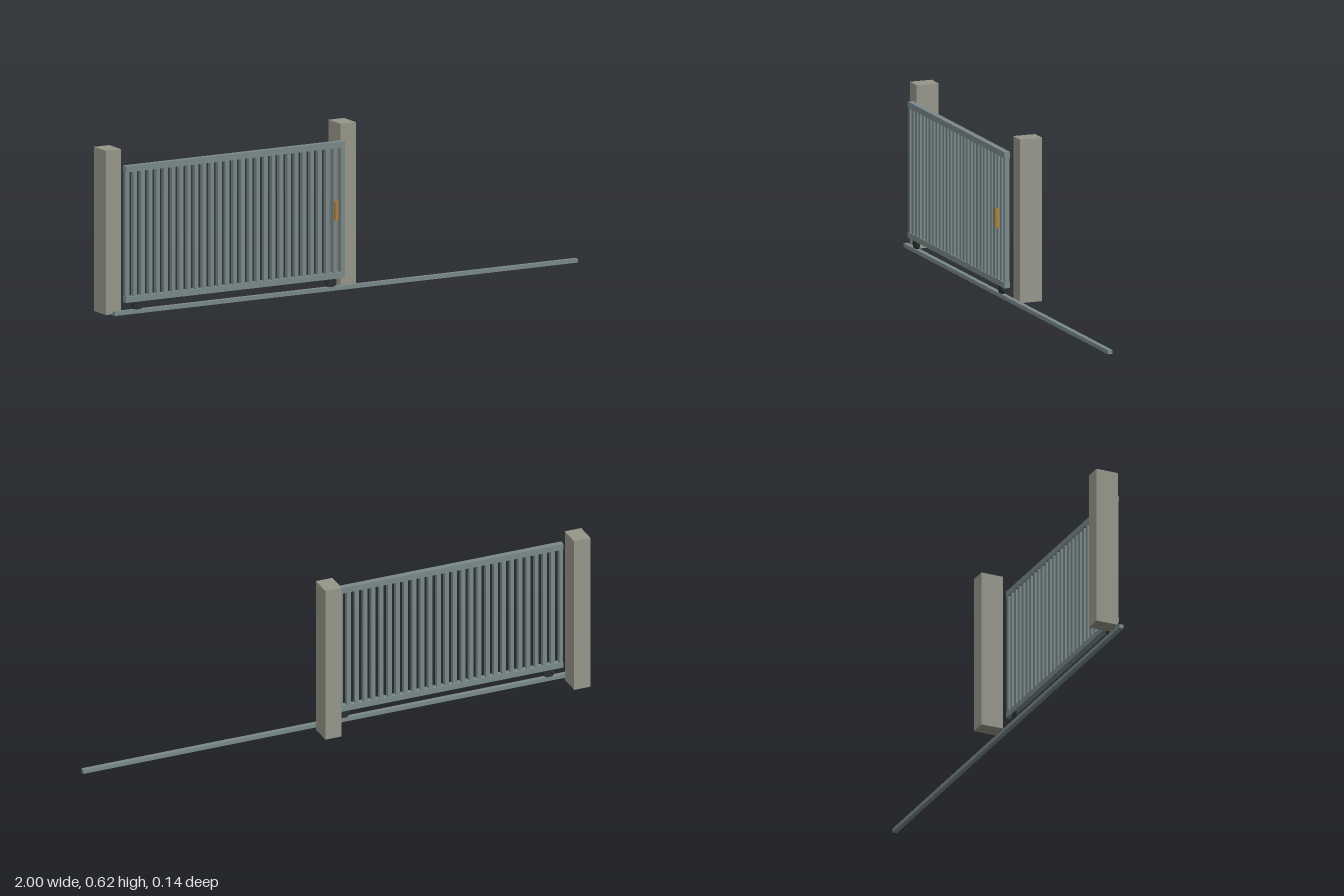
import * as THREE from 'three';

export function createModel() {
  const group = new THREE.Group();
  const material = (name, color) => {
    const m = new THREE.MeshStandardMaterial({ color });
    m.name = name;
    return m;
  };
  const concrete = material('concrete', 0x97968a);
  const steel = material('painted steel', 0x7a898a);
  const rubber = material('dark wheel', 0x2a3032);
  const brass = material('brass', 0xb0803a);

  const add = (name, geometry, mat, x, y, z) => {
    const mesh = new THREE.Mesh(geometry, mat);
    mesh.name = name;
    mesh.position.set(x, y, z);
    group.add(mesh);
    return mesh;
  };
  // Box given by its limits on each axis
  const box = (name, mat, [x0, x1], [y0, y1], [z0, z1]) =>
    add(name, new THREE.BoxGeometry(x1 - x0, y1 - y0, z1 - z0), mat,
      (x0 + x1) / 2, (y0 + y1) / 2, (z0 + z1) / 2);

  const gateZ = 0.042;
  const gateX = [-0.934, 0.003];

  // Gate posts
  box('rightPost', concrete, [-1, -0.934], [0, 0.62], [-0.07, 0.018]);
  box('leftPost', concrete, [0.003, 0.069], [0, 0.62], [-0.07, 0.018]);

  // Ground track
  box('track', steel, [-0.98, 1], [0, 0.015], [0.033, 0.051]);

  // Horizontal gate rails
  box('bottomRail', steel, gateX, [0.045, 0.067], [0.0305, 0.0535]);
  box('topRail', steel, gateX, [0.538, 0.561], [0.0305, 0.0535]);

  // Vertical bars, spaced evenly between the gate ends
  const barCount = 29, barWidth = 0.016;
  const first = gateX[0] + barWidth / 2;
  const step = (gateX[1] - gateX[0] - barWidth) / (barCount - 1);
  const barGeometry = new THREE.BoxGeometry(barWidth, 0.48, 0.018);
  for (let i = 0; i < barCount; i++) {
    add('bar' + (i + 1), barGeometry, steel, first + i * step, 0.302, gateZ);
  }

  // Wheels running on the track
  const wheelGeometry = new THREE.CylinderGeometry(0.021, 0.021, 0.012, 20).rotateX(Math.PI / 2);
  add('rightWheel', wheelGeometry, rubber, -0.879, 0.032, gateZ);
  add('leftWheel', wheelGeometry, rubber, -0.052, 0.032, gateZ);

  // Pull handle in front of the bars
  box('handle', brass, [-0.049, -0.037], [0.268, 0.341], [0.059, 0.072]);

  return group;
}
